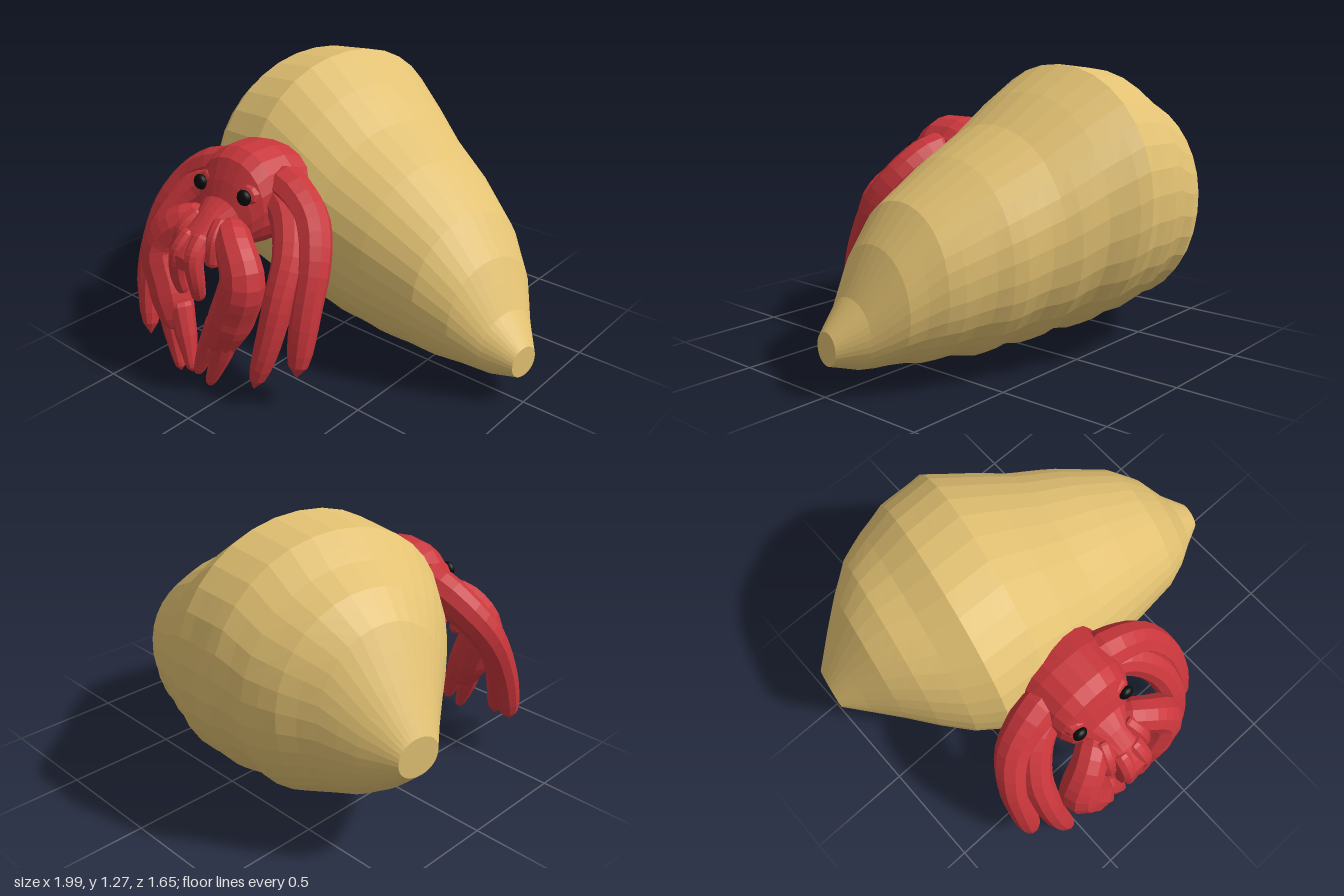
import * as THREE from 'three';

const shellMat = new THREE.MeshStandardMaterial({ color: 0xe2c172, flatShading: true });
const redMat = new THREE.MeshStandardMaterial({ color: 0xc8363b, flatShading: true });
const blackMat = new THREE.MeshStandardMaterial({ color: 0x0a0a0a });
const CX = -0.2; // the crab's own centre line

function mesh(name, geometry, material) {
  const m = new THREE.Mesh(geometry, material);
  m.name = name;
  return m;
}

// Closed loft through sections [s, cMin, cMax, dMin, dMax]; place() maps them to x, y, z
function loft(sections, sides, power, place) {
  const centre = ([s, a, b, c, d]) => [s, (a + b) / 2, (a + b) / 2, (c + d) / 2, (c + d) / 2];
  const rings = [centre(sections[0]), ...sections, centre(sections[sections.length - 1])];
  const pos = [], index = [];
  const round = (v) => Math.sign(v) * Math.pow(Math.abs(v), power);
  rings.forEach(([s, c0, c1, d0, d1], i) => {
    for (let j = 0; j < sides; j++) {
      const a = (j / sides) * Math.PI * 2;
      const c = round(Math.cos(a)) * (c1 - c0) / 2;
      const d = round(Math.sin(a)) * (d1 - d0) / 2;
      pos.push(...place(s, (c0 + c1) / 2, (d0 + d1) / 2, c, d, a));
      if (i === rings.length - 1) continue;
      const k = i * sides + j, n = i * sides + (j + 1) % sides;
      index.push(k, n, k + sides, n, n + sides, k + sides);
    }
  });
  const g = new THREE.BufferGeometry();
  g.setAttribute('position', new THREE.Float32BufferAttribute(pos, 3));
  g.setIndex(index);
  g.computeVertexNormals();
  return g;
}

// Limb: a tube whose radius follows a list, with closed rounded ends
function limb(points, radii, segments = 18, sides = 10) {
  const curve = new THREE.CatmullRomCurve3(points.map((p) => new THREE.Vector3(...p)));
  const g = new THREE.TubeGeometry(curve, segments, 1, sides);
  const p = g.attributes.position, v = new THREE.Vector3();
  for (let i = 0; i <= segments; i++) {
    const t = i / segments, f = t * (radii.length - 1);
    const k = Math.min(Math.floor(f), radii.length - 2);
    const end = Math.min(1, Math.min(i, segments - i) / 2);
    const r = THREE.MathUtils.lerp(radii[k], radii[k + 1], f - k) * Math.sqrt(1 - (1 - end) ** 2);
    const c = curve.getPointAt(t);
    for (let j = 0; j <= sides; j++) {
      const n = i * (sides + 1) + j;
      v.fromBufferAttribute(p, n).sub(c).multiplyScalar(r).add(c);
      p.setXYZ(n, v.x, v.y, v.z);
    }
  }
  g.computeVertexNormals();
  return g;
}

function buildShell() {
  // x, yMin, yMax, zMin, zMax
  const keys = [
    [-0.98, 0.45, 0.62, -0.49, -0.3],
    [-0.87, 0.34, 0.81, -0.58, -0.18],
    [-0.76, 0.27, 1.0, -0.66, -0.05],
    [-0.65, 0.21, 1.1, -0.75, 0.08],
    [-0.53, 0.17, 1.16, -0.8, 0.21],
    [-0.4, 0.15, 1.25, -0.82, 0.31],
    [-0.18, 0.11, 1.275, -0.82, 0.33],
    [0, 0.1, 1.16, -0.73, 0.325],
    [0.18, 0.08, 1.03, -0.64, 0.31],
    [0.4, 0.07, 0.91, -0.54, 0.29],
    [0.64, 0.085, 0.75, -0.4, 0.255],
    [0.77, 0.095, 0.59, -0.3, 0.2],
    [0.88, 0.1, 0.39, -0.18, 0.13],
    [0.985, 0.13, 0.27, -0.07, 0.07],
  ];
  const sections = [];
  keys.forEach((k, i) => {
    const n = keys[i + 1] ?? k;
    const steps = Math.max(1, Math.round((n[0] - k[0]) / 0.06));
    for (let q = 0; q < steps; q++) sections.push(k.map((v, m) => v + (n[m] - v) * q / steps));
  });
  // Rings lean with the shell axis; shallow whorl ridges run along the underside and back
  return loft(sections, 34, 0.96, (x, yc, zc, dy, dz, a) => {
    const w = Math.max(0, -Math.cos(a - 0.6)) * Math.min(1, Math.hypot(dy, dz) / 0.3);
    const k = 1 + 0.02 * w * Math.sin(x * 27 + a);
    return [x - 0.18 * dz, yc + dy * k, zc + dz * k];
  });
}

export function createModel() {
  const model = new THREE.Group();
  model.name = 'hermitCrab';
  model.add(mesh('shell', buildShell(), shellMat));

  // Head and snout: z, half width, yMin, yMax
  const head = [
    [0.1, 0.2, 0.57, 0.93], [0.23, 0.23, 0.55, 0.97], [0.32, 0.22, 0.55, 1.0],
    [0.45, 0.21, 0.56, 1.0], [0.51, 0.195, 0.57, 0.965], [0.555, 0.165, 0.58, 0.88],
    [0.585, 0.13, 0.59, 0.81], [0.65, 0.09, 0.6, 0.77], [0.73, 0.08, 0.6, 0.71],
    [0.79, 0.07, 0.57, 0.655], [0.82, 0.05, 0.56, 0.62],
  ].map(([z, w, y0, y1]) => [z, CX - w, CX + w, y0, y1]);
  model.add(mesh('head', loft(head, 20, 0.92, (z, xc, yc, dx, dy) => [xc + dx, yc + dy, z]), redMat));

  // Limb paths as distance from the centre line, y, z
  const limbs = [
    ['outerLeg', [[0.08, 0.83, 0.35], [0.22, 0.83, 0.37], [0.365, 0.745, 0.41], [0.45, 0.61, 0.49], [0.48, 0.42, 0.575], [0.49, 0.15, 0.65]],
      [0.11, 0.09, 0.08, 0.07, 0.062, 0.045]],
    ['middleLeg', [[0.1, 0.8, 0.38], [0.25, 0.76, 0.43], [0.355, 0.64, 0.53], [0.385, 0.48, 0.63], [0.375, 0.28, 0.7], [0.335, 0.08, 0.75]],
      [0.09, 0.08, 0.072, 0.065, 0.055, 0.035]],
    ['clawArm', [[0.05, 0.69, 0.58], [0.16, 0.67, 0.66], [0.25, 0.55, 0.705], [0.2, 0.38, 0.72], [0.12, 0.17, 0.75]],
      [0.075, 0.085, 0.1, 0.1, 0.06]],
    ['outerPincer', [[0.2, 0.36, 0.73], [0.145, 0.16, 0.76], [0.09, 0.005, 0.785]], [0.07, 0.05, 0.02]],
    ['innerPincer', [[0.13, 0.34, 0.73], [0.065, 0.17, 0.76], [0.015, 0.03, 0.785]], [0.06, 0.048, 0.02]],
    ['feeler', [[0.07, 0.73, 0.62], [0.095, 0.68, 0.7], [0.105, 0.57, 0.74]], [0.05, 0.042, 0.03]],
    ['fang', [[0.035, 0.69, 0.7], [0.045, 0.61, 0.78], [0.055, 0.51, 0.785], [0.045, 0.41, 0.765]],
      [0.05, 0.045, 0.038, 0.03]],
  ];
  for (const side of [1, -1]) {
    const label = side > 0 ? 'left' : 'right';
    for (const [name, path, radii] of limbs) {
      const pts = path.map(([d, y, z]) => [CX + side * d, y, z]);
      model.add(mesh(`${label} ${name}`, limb(pts, radii), redMat));
    }
    const eye = mesh(`${label} eye`, new THREE.SphereGeometry(0.035, 16, 12), blackMat);
    eye.scale.z = 0.7;
    eye.position.set(CX + side * 0.133, 0.84, 0.565);
    model.add(eye);
    // Short stalk behind each eye
    const stalk = limb([[CX + side * 0.1, 0.82, 0.42], [CX + side * 0.13, 0.84, 0.565]], [0.09, 0.045], 8);
    model.add(mesh(`${label} eyeStalk`, stalk, redMat));
  }
  return model;
}
